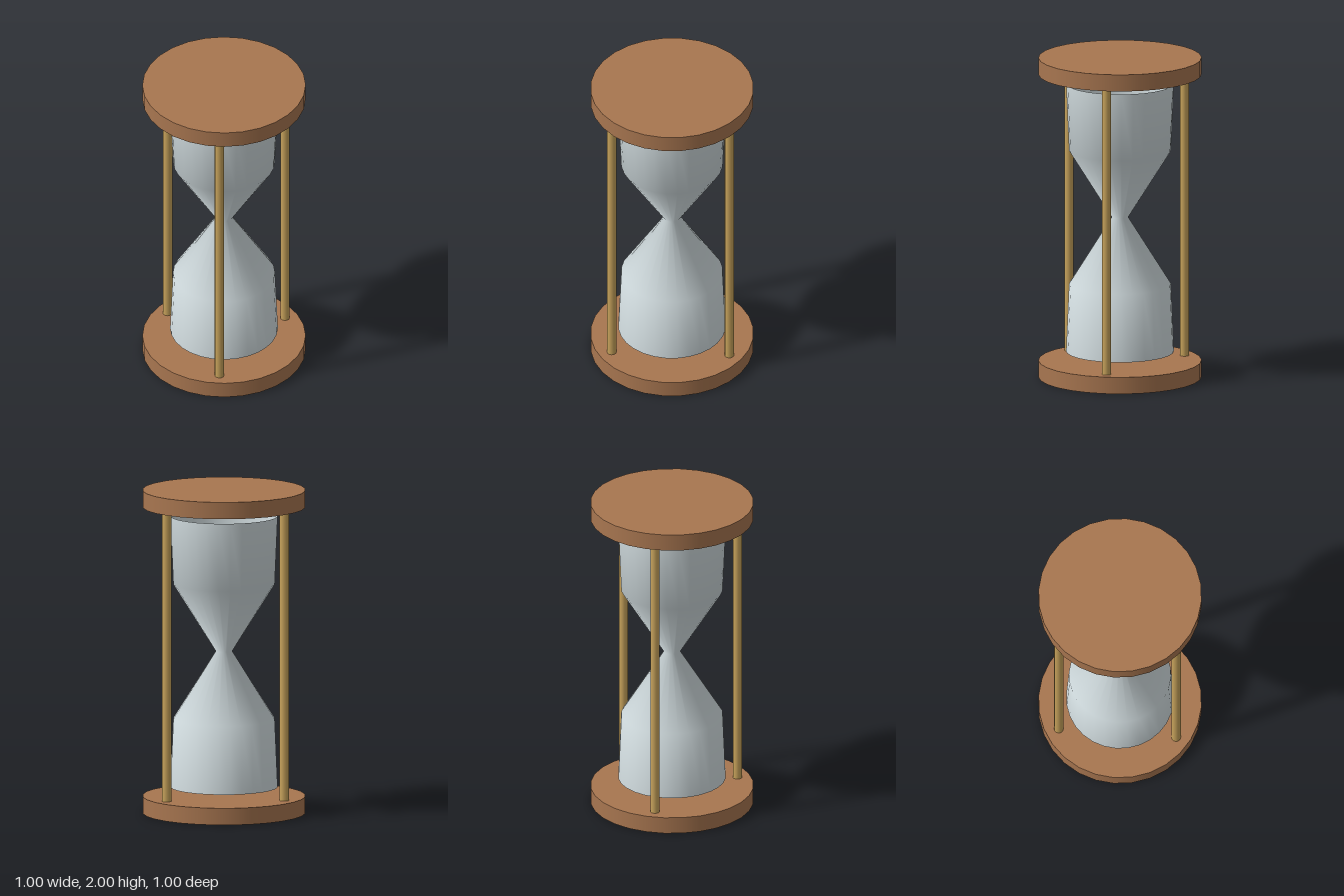
import * as THREE from 'three';

const wood = new THREE.MeshStandardMaterial({ color: 0xa87650, name: 'wood' });
const brass = new THREE.MeshStandardMaterial({ color: 0xc9a45c, name: 'brass' });
const glass = new THREE.MeshStandardMaterial({ color: 0xd3dee1, name: 'glass', side: THREE.DoubleSide });

export function createModel() {
  const model = new THREE.Group();
  model.name = 'hourglass';
  const add = (name, geometry, material, x, y, z) => {
    const mesh = new THREE.Mesh(geometry, material);
    mesh.name = name;
    mesh.position.set(x, y, z);
    model.add(mesh);
  };

  // Round end plates
  const plateHeight = 0.104;
  const plate = new THREE.CylinderGeometry(0.5, 0.5, plateHeight, 28);
  add('basePlate', plate, wood, 0, plateHeight / 2, 0);
  add('topPlate', plate, wood, 0, 2 - plateHeight / 2, 0);

  // Two mirrored bulbs meeting at a narrow neck
  const profile = [[0.33, -0.84], [0.312, -0.418], [0.05, 0], [0.312, 0.418], [0.33, 0.84]]
    .map(([r, y]) => new THREE.Vector2(r, y));
  add('glassBulbs', new THREE.LatheGeometry(profile, 28), glass, 0, 1, 0);

  // Three posts evenly spaced around the glass
  const post = new THREE.CylinderGeometry(0.029, 0.029, 2 - 2 * plateHeight, 12);
  for (let i = 0; i < 3; i++) {
    const a = (i * Math.PI * 2) / 3;
    add('post' + (i + 1), post, brass, 0.416 * Math.cos(a), 1, 0.416 * Math.sin(a));
  }
  return model;
}
